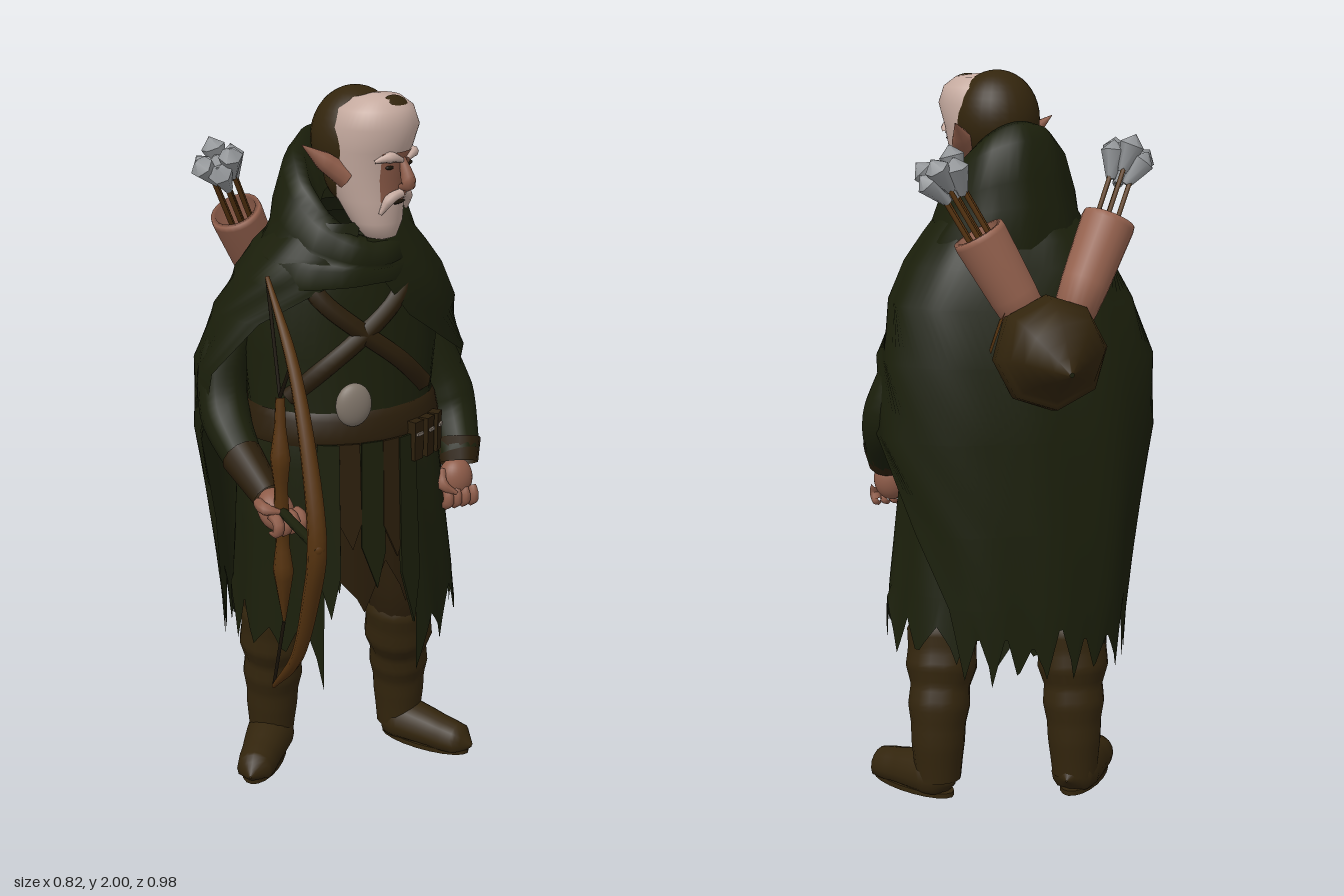
import * as THREE from 'three';
import { mergeVertices } from 'three/addons/utils/BufferGeometryUtils.js';

const mat = (name, color, side = THREE.FrontSide) => Object.assign(new THREE.MeshStandardMaterial({ color, side }), { name });
const V = (p) => new THREE.Vector3(...p);
const vec2 = (pts) => pts.map((p) => new THREE.Vector2(...p));
const rad = THREE.MathUtils.degToRad;
const BODY = -0.28; // the body is turned a little to its right

export function createModel() {
  const M = {
    cloth: mat('green cloth', 0x1b1f0b, THREE.DoubleSide),
    brown: mat('dark brown leather', 0x2b1e0b, THREE.DoubleSide),
    boot: mat('boot brown', 0x33250d),
    wood: mat('bow wood', 0x573410),
    skin: mat('skin', 0x8e5c49),
    pale: mat('pale beard', 0xc6aba0),
    quiver: mat('quiver leather', 0x986450),
    feather: mat('feather grey', 0x94979a),
    metal: mat('buckle metal', 0x80756a),
    shadow: mat('dark cord', 0x1c150a),
  };
  const root = new THREE.Group();
  root.name = 'hoodedArcher';
  const add = (name, geo, m, parent = root) => {
    const mesh = Object.assign(new THREE.Mesh(geo, m), { name });
    parent.add(mesh);
    return mesh;
  };
  const group = (name, p) => {
    const g = Object.assign(new THREE.Group(), { name });
    g.position.set(...p);
    root.add(g);
    return g;
  };
  const weld = (g) => {
    g.deleteAttribute('uv');
    g.deleteAttribute('normal');
    const w = mergeVertices(g, 1e-5);
    w.computeVertexNormals();
    return w;
  };
  // Cross-section: [y, centreX, centreZ, radiusX, radiusZ, tilt, startDeg, endDeg]; 0 deg is the front.
  // A power above 2 squares the ellipse off.
  const onRing = (r, deg, yaw, swell = 1, power = 2) => {
    const a = rad(deg), s = Math.sin(a), c = Math.cos(a);
    const k = swell / (Math.abs(s) ** power + Math.abs(c) ** power) ** (1 / power), x = s * r[3] * k, z = c * r[4] * k;
    return [r[1] + x * Math.cos(yaw) + z * Math.sin(yaw), r[0] - (r[5] || 0) * c, r[2] - x * Math.sin(yaw) + z * Math.cos(yaw)];
  };
  // Skin over cross-sections listed from bottom to top
  const loft = (name, m, rings, { n = 48, yaw = BODY, fold = 0, swell = 1, power = 2, hem, parent } = {}) => {
    const pos = [], idx = [];
    rings.forEach((r, i) => {
      const a0 = r[6] ?? 180, a1 = r[7] ?? 540;
      for (let j = 0; j <= n; j++) {
        const a = a0 + (a1 - a0) * j / n;
        const p = onRing(r, a, yaw, swell * (1 + fold * Math.sin(rad(a * 11) + r[0] * 4)), power);
        if (hem && i === 0) p[1] += hem(j / n);
        pos.push(...p);
        const d = i * (n + 1) + j, b = d - n - 1;
        if (i && j) idx.push(b - 1, b, d, b - 1, d, d - 1);
      }
    });
    const g = new THREE.BufferGeometry();
    g.setAttribute('position', new THREE.Float32BufferAttribute(pos, 3));
    g.setIndex(idx);
    return add(name, weld(g), m, parent);
  };
  // Tube whose radius changes along its path
  const limb = (name, m, pts, radii, sides = 12, parent = root, seg = 20) => {
    const curve = new THREE.CatmullRomCurve3(pts.map(V));
    const g = new THREE.TubeGeometry(curve, seg, 1, sides), P = g.attributes.position, v = new THREE.Vector3();
    for (let q = 0; q < P.count; q++) {
      const t = Math.floor(q / (sides + 1)) / seg, c = curve.getPointAt(t);
      const f = t * (radii.length - 1), k = Math.min(Math.floor(f), radii.length - 2);
      v.fromBufferAttribute(P, q).sub(c).multiplyScalar(radii[k] + (radii[k + 1] - radii[k]) * (f - k)).add(c);
      P.setXYZ(q, v.x, v.y, v.z);
    }
    return add(name, weld(g), m, parent);
  };
  const ball = (name, m, p, s, parent = root) => {
    const b = add(name, new THREE.SphereGeometry(1, 28, 20), m, parent);
    b.position.set(...p);
    b.scale.set(...s);
    return b;
  };
  // Torn edge with pointed teeth of uneven depth
  const torn = (teeth, depth) => (u) => {
    const k = Math.floor(u * teeth), f = u * teeth - k;
    return (1 - Math.abs(2 * f - 1)) * depth * (1 + 0.35 * Math.sin(k * 2.3)) + 0.02 * Math.sin(k * 4.1 + f);
  };

  // Coat, with a ragged skirt open at the front
  const coat = [[1.0, 0.02, 0, 0.28, 0.215], [1.12, 0.02, 0, 0.255, 0.2], [1.3, 0.02, 0, 0.27, 0.195],
    [1.45, 0.015, 0, 0.25, 0.185], [1.55, 0.01, 0.01, 0.2, 0.165], [1.63, 0.01, 0.03, 0.13, 0.12]];
  loft('coatTorso', M.cloth, coat, { fold: 0.01 });
  const skirtHem = torn(15, 0.11);
  loft('coatSkirt', M.cloth, [
    [0.45, 0.05, -0.02, 0.325, 0.255, 0, 24, 334], [0.62, 0.045, -0.015, 0.315, 0.25, 0, 24, 334],
    [0.8, 0.035, -0.01, 0.3, 0.24, 0, 22, 336], [1.0, 0.02, 0, 0.285, 0.22, 0, 20, 338], [1.1, 0.02, 0, 0.262, 0.205, 0, 18, 340]],
  { n: 90, fold: 0.015, hem: (u) => skirtHem(u) - 0.09 * Math.max(0, 1 - 12 * Math.min(u, 1 - u)) });
  loft('underTunic', M.brown, [[0.57, 0.02, 0, 0.26, 0.2], [0.8, 0.02, 0, 0.265, 0.2], [1.05, 0.02, 0, 0.25, 0.195]],
    { n: 72, fold: 0.02, hem: torn(12, 0.1) });

  // Belt, straps and hanging strips, laid on the coat surface
  const coatAt = (y, a, swell) => {
    const k = THREE.MathUtils.clamp(coat.findIndex((r) => r[0] >= y), 1, coat.length - 1);
    const t = (y - coat[k - 1][0]) / (coat[k][0] - coat[k - 1][0]);
    return onRing(coat[k].map((q, i) => coat[k - 1][i] + (q - coat[k - 1][i]) * t), a, BODY, swell);
  };
  loft('belt', M.brown, [[1.06, 0.02, 0, 0.275, 0.215], [1.08, 0.02, 0, 0.28, 0.22], [1.13, 0.02, 0, 0.27, 0.215], [1.15, 0.02, 0, 0.26, 0.2]]);
  for (const s of [1, -1])
    limb('chestStrap', M.brown, [0, 1, 2, 3, 4].map((i) => coatAt(1.55 - i * 0.09, s * (52 - i * 25), 0.98)), [0.028, 0.028], 6);
  ball('beltBuckle', M.metal, [-0.08, 1.18, 0.2], [0.05, 0.06, 0.025]).rotation.y = BODY;
  [[-22, 0.5], [-11, 0.3], [2, 0.42], [14, 0.34], [24, 0.55]].forEach(([a, len], i) => {
    const shape = new THREE.Shape(vec2([[-0.03, 0], [-0.035, -len * 0.7], [0.01, -len], [0.035, -len * 0.75], [0.03, 0]]));
    const g = new THREE.ExtrudeGeometry(shape, { depth: 0.008, bevelEnabled: false });
    const strip = add('hangingStrip', g, i % 2 ? M.brown : M.cloth);
    strip.position.set(...coatAt(1.07, a, 1.07));
    strip.rotation.set(-0.05, BODY + rad(a), 0, 'YXZ');
  });
  for (const a of [30, 40, 50]) {
    const pouch = add('beltPouch', new THREE.BoxGeometry(0.036, 0.11, 0.03), M.brown);
    pouch.position.set(...coatAt(1.05, a, 1.08));
    pouch.rotation.y = BODY + rad(a);
    add('pouchClasp', new THREE.BoxGeometry(0.024, 0.008, 0.008), M.metal, pouch).position.set(0, 0.02, 0.017);
  }

  // Cape, sweeping back on the left side, and lowered hood
  loft('cape', M.cloth, [
    [0.4, 0.03, -0.035, 0.315, 0.25, 0, 148, 256], [0.6, 0.03, -0.035, 0.328, 0.25, 0, 142, 262],
    [0.8, 0.025, -0.03, 0.35, 0.245, 0, 128, 268], [1.05, 0.02, -0.03, 0.385, 0.235, 0, 96, 277],
    [1.25, 0.01, -0.03, 0.375, 0.22, 0, 62, 290], [1.4, 0.015, -0.015, 0.33, 0.205, 0, 24, 312],
    [1.5, 0.015, 0, 0.28, 0.19, 0, 12, 342], [1.57, 0.01, 0.01, 0.23, 0.175, 0, 5, 355],
    [1.66, 0.01, 0.03, 0.15, 0.14, 0, 2, 358]], { n: 72, fold: 0.012, power: 2.5, hem: torn(8, 0.12) });
  loft('hood', M.cloth, [
    [1.48, 0.01, 0.02, 0.23, 0.185, -0.02], [1.56, 0.01, 0.02, 0.235, 0.19, 0.02], [1.6, 0.01, 0.02, 0.195, 0.175, 0.06],
    [1.64, 0.015, 0.03, 0.195, 0.18, 0.09], [1.71, 0.015, 0.035, 0.168, 0.167, 0.12], [1.74, 0.015, 0.04, 0.142, 0.14, 0.13],
    [1.745, 0.015, 0.05, 0.12, 0.112, 0.13], [1.64, 0.01, 0.06, 0.08, 0.07, 0.08]], { fold: 0.012, yaw: 0 });

  // Head
  const head = group('head', [0.01, 0, 0.12]);
  head.rotation.y = 0.27;
  const skull = [
    [1.61, 0, 0.06, 0.01, 0.01], [1.62, 0, 0.055, 0.045, 0.04], [1.66, 0, 0.04, 0.07, 0.068], [1.72, 0, 0.02, 0.087, 0.09],
    [1.78, 0, 0.01, 0.1, 0.104], [1.85, 0, 0.015, 0.11, 0.113], [1.91, 0, 0.03, 0.117, 0.118],
    [1.955, 0, 0.035, 0.103, 0.095], [1.98, 0, 0.04, 0.065, 0.06], [1.988, 0, 0.04, 0.001, 0.001]];
  loft('headAndBeard', M.pale, skull, { yaw: 0, parent: head });
  loft('face', M.skin, skull.slice(3, 6).map((r) => [...r.slice(0, 5), 0, -36, 36]), { yaw: 0, n: 16, swell: 1.03, parent: head });
  ball('hairBack', M.boot, [0, 1.869, -0.03], [0.118, 0.131, 0.115], head);
  ball('napeHair', M.boot, [0, 1.79, -0.03], [0.095, 0.1, 0.076], head);
  ball('foreheadPatch', M.boot, [0.003, 1.968, 0.098], [0.04, 0.012, 0.027], head).rotation.x = 0.6;
  limb('nose', M.skin, [[0, 1.83, 0.12], [0, 1.79, 0.138], [0, 1.765, 0.142], [0, 1.755, 0.115]], [0.01, 0.015, 0.021, 0.006], 8, head, 10);
  ball('mouth', M.shadow, [0, 1.716, 0.113], [0.025, 0.005, 0.006], head);
  for (const s of [1, -1]) {
    limb('ear', M.skin, [[s * 0.085, 1.78, 0.01], [s * 0.125, 1.82, -0.025], [s * 0.18, 1.87, -0.06]], [0.032, 0.026, 0.001], 8, head, 10);
    ball('eye', M.shadow, [s * 0.04, 1.812, 0.113], [0.015, 0.006, 0.007], head);
    limb('eyebrow', M.pale, [[s * 0.01, 1.828, 0.131], [s * 0.045, 1.84, 0.122], [s * 0.08, 1.83, 0.095]], [0.006, 0.015, 0.004], 8, head, 8);
    limb('moustache', M.pale, [[0, 1.742, 0.122], [s * 0.035, 1.73, 0.112], [s * 0.055, 1.69, 0.095]], [0.012, 0.015, 0.005], 8, head, 8);
  }

  // Arms and hands
  limb('rightSleeve', M.cloth, [[-0.2, 1.42, -0.1], [-0.275, 1.28, -0.12], [-0.305, 1.13, -0.08], [-0.33, 1.02, 0.06]], [0.05, 0.065, 0.068, 0.05], 14);
  limb('rightCuff', M.brown, [[-0.328, 1.04, 0.035], [-0.335, 0.97, 0.17]], [0.057, 0.042], 12);
  limb('leftSleeve', M.cloth, [[0.2, 1.42, 0.03], [0.275, 1.28, 0.05], [0.333, 1.08, 0.085], [0.305, 0.95, 0.175]], [0.045, 0.062, 0.08, 0.06], 14);
  limb('leftCuff', M.brown, [[0.315, 0.985, 0.155], [0.298, 0.925, 0.183]], [0.066, 0.055], 12);
  const hand = (name, p, yaw, pitch) => {
    const h = group(name, p);
    h.rotation.set(pitch, yaw, 0);
    ball('palm', M.skin, [0, 0, 0], [0.05, 0.06, 0.042], h);
    for (const x of [-0.039, -0.013, 0.013, 0.039])
      limb('finger', M.skin, [[x, -0.02, 0.025], [x, -0.045, 0.04], [x, -0.068, 0.02], [x, -0.055, -0.01]], [0.014, 0.016, 0.014, 0.004], 7, h, 8);
    limb('thumb', M.skin, [[-0.045, 0.03, 0], [-0.055, 0, 0.03], [-0.02, -0.025, 0.05]], [0.014, 0.017, 0.005], 7, h, 8);
  };
  hand('leftHand', [0.29, 0.88, 0.18], -0.2, 0);
  hand('rightHand', [-0.335, 0.945, 0.205], 0.1, -0.7);

  // Legs and boots
  const leg = (side, pts, yaw, foot) => {
    limb(side + 'Trouser', M.brown, pts.slice(0, 3), [0.095, 0.1, 0.097, 0.085], 14);
    limb(side + 'BootShaft', M.boot, pts.slice(1), [0.075, 0.1, 0.096, 0.1, 0.083, 0.087, 0.077, 0.075, 0.069, 0.064], 16, root, 36);
    const f = group(side + 'Foot', foot);
    f.rotation.y = yaw;
    const shoe = limb(side + 'Boot', M.boot, [[0, 0.05, -0.08], [0, 0.055, -0.03], [0, 0.045, 0.08], [0, 0.035, 0.16], [0, 0.03, 0.24]],
      [0.002, 0.058, 0.07, 0.067, 0.063, 0.058, 0.056, 0.05, 0.003], 16, f, 24);
    const P = shoe.geometry.attributes.position;
    for (let i = 0; i < P.count; i++) P.setY(i, Math.max(P.getY(i), 0.012));
    shoe.geometry.computeVertexNormals();
    const sole = add('sole', new THREE.CylinderGeometry(0.056, 0.056, 0.014, 20), M.boot, f);
    sole.scale.z = 2.6;
    sole.position.set(0, 0.007, 0.08);
  };
  leg('left', [[0.18, 0.8, 0.03], [0.2, 0.52, 0.045], [0.215, 0.4, 0.025], [0.245, 0.22, -0.01], [0.25, 0.05, -0.015]], 0.38, [0.255, 0, 0.0]);
  leg('right', [[-0.1, 0.8, -0.08], [-0.115, 0.52, -0.125], [-0.112, 0.4, -0.14], [-0.105, 0.22, -0.162], [-0.105, 0.05, -0.17]], -0.85, [-0.11, 0, -0.165]);

  // Bow: curved limb, inner grip bar, cross stick and cords
  const tipTop = [-0.34, 1.57, 0.185], tipLow = [-0.27, 0.36, 0.09], barTop = [-0.345, 1.27, 0.245], barLow = [-0.315, 0.62, 0.21];
  limb('bowLimb', M.wood, [tipTop, [-0.358, 1.37, 0.325], [-0.378, 1.155, 0.42], [-0.388, 0.945, 0.465], [-0.368, 0.76, 0.405],
    [-0.33, 0.55, 0.29], tipLow], [0.006, 0.015, 0.019, 0.023, 0.026, 0.023, 0.019, 0.015, 0.006], 8, root, 40);
  limb('bowGripBar', M.wood, [barTop, [-0.35, 1.1, 0.25], [-0.34, 0.94, 0.24], [-0.33, 0.76, 0.23], barLow],
    [0.012, 0.016, 0.027, 0.018, 0.02, 0.018, 0.028, 0.016, 0.004], 8, root, 32);
  limb('bowCrossStick', M.cloth, [[-0.395, 0.945, 0.485], [-0.34, 0.96, 0.22]], [0.013, 0.013], 8);
  ball('bowFrontCap', M.wood, [-0.39, 0.945, 0.47], [0.02, 0.022, 0.02]);
  for (const [a, b] of [[tipTop, barTop], [[-0.357, 1.38, 0.315], barTop], [tipLow, barLow]])
    limb('bowCord', M.shadow, [a, b], [0.005, 0.005], 5, root, 2);

  // Quivers with fletched arrows that lean on their own line
  const quiver = (name, base, top, lean) => {
    const q = group(name, base);
    q.quaternion.setFromUnitVectors(new THREE.Vector3(0, 1, 0), V(top).sub(V(base)).normalize());
    const profile = [[0, 0], [0.055, 0], [0.064, 0.1], [0.072, 0.27], [0.07, 0.285], [0.057, 0.285], [0.05, 0.15], [0, 0.15]];
    add('quiverCase', new THREE.LatheGeometry(vec2(profile), 24), M.quiver, q);
    for (let i = 0; i < 7; i++) {
      const r = i ? 1 : 0, c = r * Math.cos(i * Math.PI / 3), s = r * Math.sin(i * Math.PI / 3), y = 0.425 + (i % 2) * 0.025;
      limb('arrowShaft', M.wood, [[c * 0.03, 0.12, s * 0.03], [c * 0.032, y, s * 0.032 + lean]], [0.007, 0.007], 6, q, 2);
      const f = add('fletching', new THREE.CylinderGeometry(0.033, 0.012, 0.075, 6), M.feather, q);
      f.position.set(c * 0.036, y, s * 0.036 + lean);
      f.rotation.set(s * 0.3, 0, -c * 0.3);
      add('fletchingTip', new THREE.ConeGeometry(0.033, 0.03, 6), M.feather, f).position.y = 0.0525;
    }
  };
  quiver('leftQuiver', [0.08, 1.36, -0.245], [0.29, 1.76, -0.165], 0.01);
  quiver('rightQuiver', [-0.02, 1.38, -0.28], [-0.235, 1.77, -0.215], 0.025);

  // Back bag
  limb('backBag', M.boot, [[0.05, 1.27, -0.17], [0.055, 1.29, -0.27], [0.075, 1.31, -0.36], [0.1, 1.28, -0.49]],
    [0.09, 0.13, 0.148, 0.15, 0.127, 0.07, 0.006], 8, root, 12);
  limb('bagRim', M.wood, [[0.055, 1.3, -0.21], [0.06, 1.305, -0.28]], [0.127, 0.153], 8, root, 4);
  return root;
}
